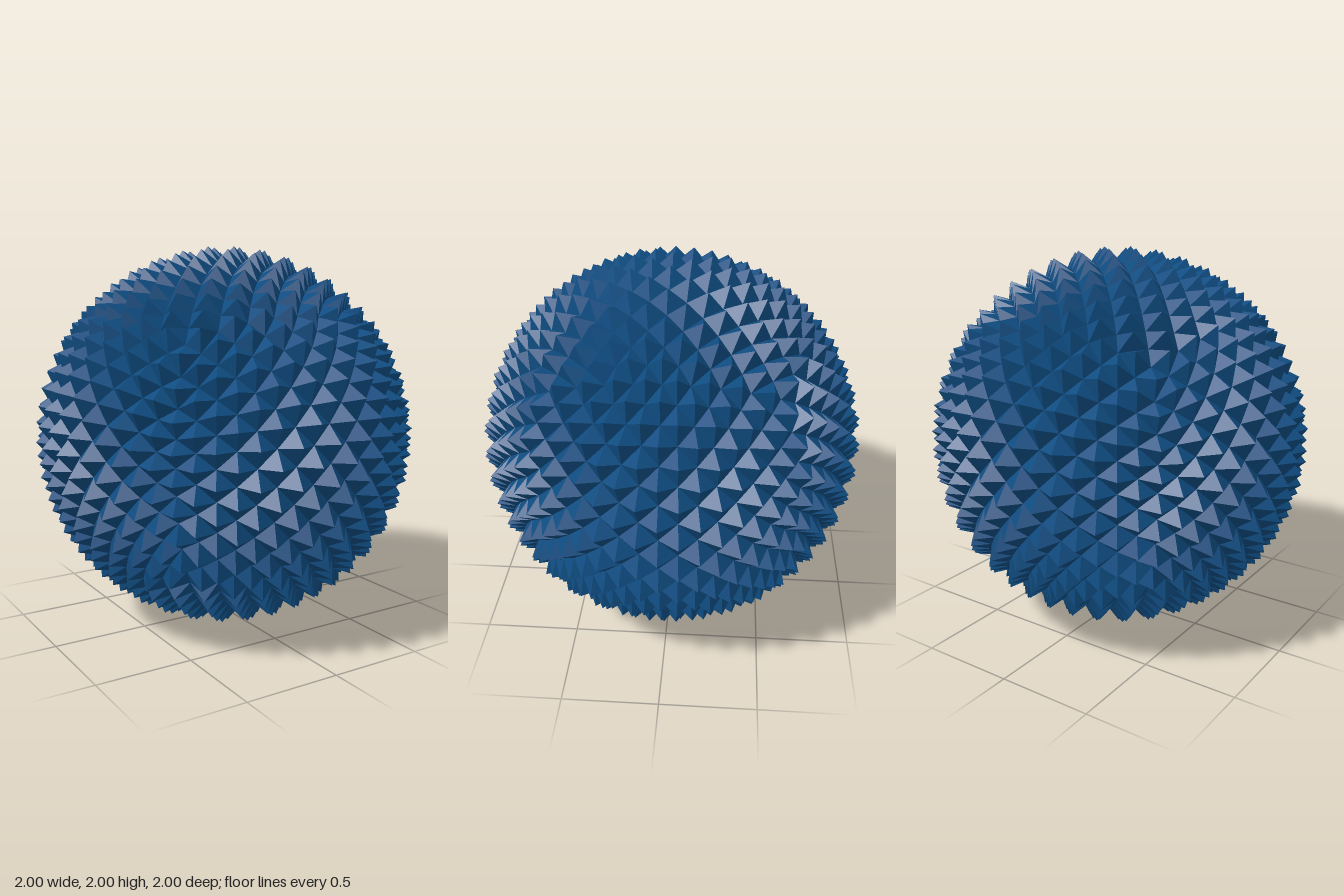
import * as THREE from 'three';

const HALF = 8;        // grid steps from face centre to cube edge
const TIP = 1.0048;    // radius of the spike tips
const VALLEY = 0.927;  // radius of the spike bases

// Point of an equal-angle cube sphere; odd grid points are spike tips.
function gridPoint(face, i, j) {
  const step = Math.PI / 4 / HALF;
  const radius = (i + j) % 2 !== 0 ? TIP : VALLEY;
  return face.n.clone()
    .addScaledVector(face.u, Math.tan(i * step))
    .addScaledVector(face.v, Math.tan(j * step))
    .setLength(radius);
}

// Six cube faces, with u x v = n
function cubeFaces() {
  const axes = [new THREE.Vector3(1, 0, 0), new THREE.Vector3(0, 1, 0), new THREE.Vector3(0, 0, 1)];
  const faces = [];
  for (let k = 0; k < 3; k++) {
    for (const s of [1, -1]) {
      const n = axes[k].clone().multiplyScalar(s);
      const u = axes[(k + 1) % 3].clone();
      faces.push({ n, u, v: n.clone().cross(u) });
    }
  }
  return faces;
}

export function createModel() {
  const blue = new THREE.MeshStandardMaterial({ color: 0x0f4c81 });
  blue.name = 'deep blue';

  const points = [];
  for (const face of cubeFaces()) {
    for (let i = -HALF; i < HALF; i++) {
      for (let j = -HALF; j < HALF; j++) {
        const a = gridPoint(face, i, j);
        const b = gridPoint(face, i + 1, j);
        const c = gridPoint(face, i + 1, j + 1);
        const d = gridPoint(face, i, j + 1);
        // The crease always runs between the two low corners
        if ((i + j) % 2 === 0) points.push(a, b, c, a, c, d);
        else points.push(a, b, d, b, c, d);
      }
    }
  }

  // Unshared corners keep every facet flat
  const geometry = new THREE.BufferGeometry().setFromPoints(points);
  geometry.computeVertexNormals();

  const ball = new THREE.Mesh(geometry, blue);
  ball.name = 'spikedBall';
  ball.position.y = 1;

  const group = new THREE.Group();
  group.name = 'spikedSphere';
  group.add(ball);
  return group;
}
